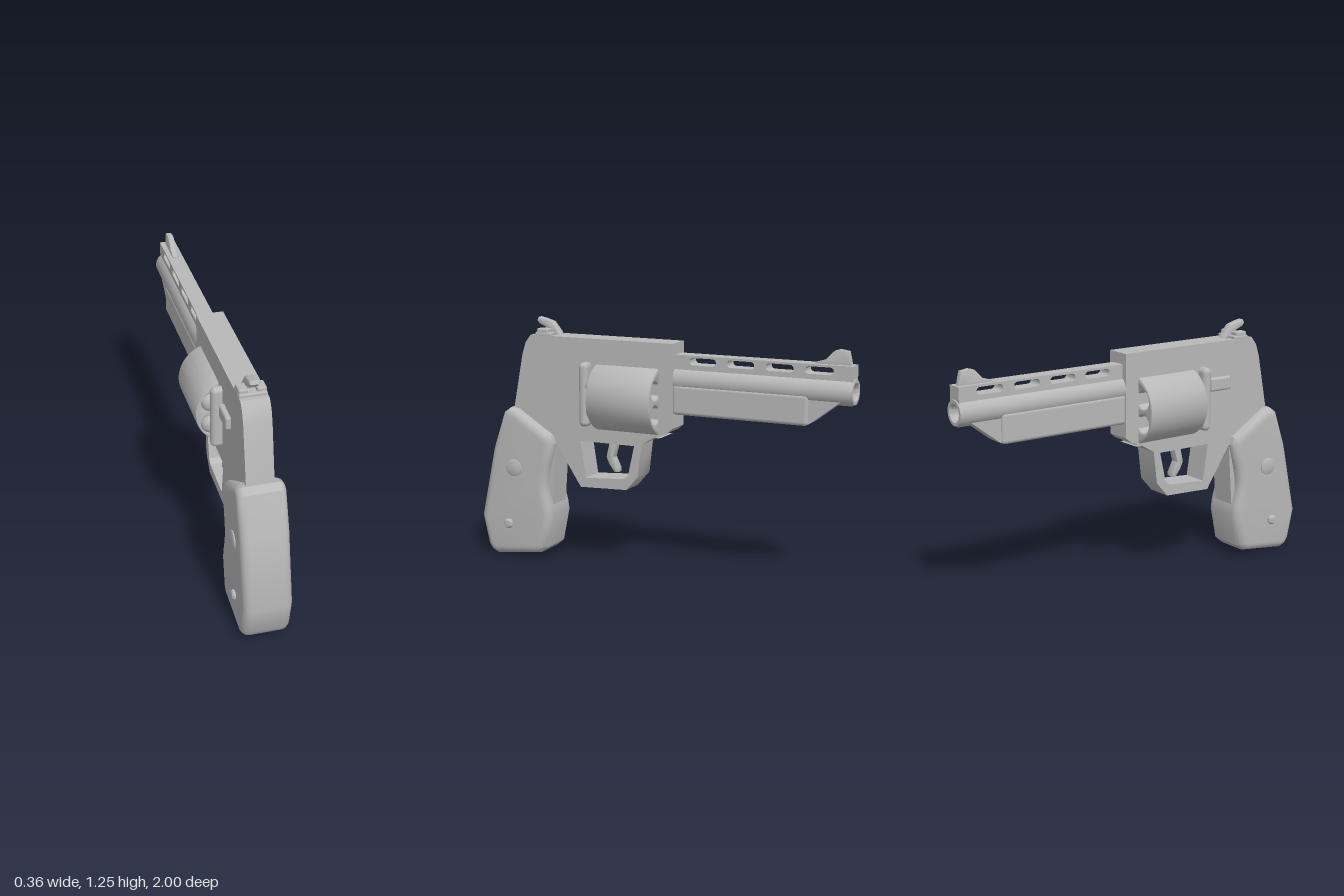
import * as THREE from 'three';
import { toCreasedNormals } from 'three/addons/utils/BufferGeometryUtils.js';
import { RoundedBoxGeometry } from 'three/addons/geometries/RoundedBoxGeometry.js';

export function createModel() {
  const model = new THREE.Group();
  model.name = 'revolver';
  const steel = new THREE.MeshStandardMaterial({ color: 0xb8b8b8 });
  steel.name = 'grey';

  const add = (name, geometry, x = 0, y = 0, z = 0) => {
    const mesh = new THREE.Mesh(geometry, steel);
    mesh.name = name;
    mesh.position.set(x, y, z);
    model.add(mesh);
    return mesh;
  };
  const points = (list) => list.map(([a, b]) => new THREE.Vector2(a, b));

  // Side profile in (z, y), extruded evenly about x = 0
  const profile = (shape, width, bevel = 0, segments = 2) => {
    const g = new THREE.ExtrudeGeometry(shape, {
      depth: width - 2 * bevel, bevelEnabled: bevel > 0, bevelSize: bevel,
      bevelThickness: bevel, bevelOffset: -bevel, bevelSegments: segments, curveSegments: 10,
    });
    g.translate(0, 0, bevel - width / 2);
    g.rotateY(-Math.PI / 2);
    return toCreasedNormals(g, 0.6);
  };

  // Frame with cylinder window and trigger guard opening
  const frame = new THREE.Shape(points([
    [0.705, 1.17], [0.735, 1.13], [0.755, 1.07], [0.815, 0.76], [0.83, 0.6], [0.8, 0.28],
    [0.59, 0.28], [0.58, 0.42], [0.565, 0.62], [0.425, 0.405], [0.165, 0.415], [0.1, 0.49],
    [0.08, 0.655], [-0.01, 0.71], [-0.06, 0.725], [-0.09, 0.75], [-0.09, 1.17],
  ]));
  frame.holes.push(
    new THREE.Path(points([[0.37, 0.7], [0.37, 1.09], [-0.03, 1.09], [-0.03, 0.7]])),
    new THREE.Path(points([[0.425, 0.645], [0.12, 0.645], [0.155, 0.49], [0.18, 0.47], [0.395, 0.455]])),
  );
  add('frame', profile(frame, 0.134));

  // Grip with rounded edges
  const grip = new THREE.Shape(points([
    [0.82, 0.79], [0.855, 0.765], [0.92, 0.575], [1, 0.205], [0.965, 0.05], [0.945, 0.02],
    [0.91, 0.003], [0.65, 0.035], [0.615, 0.065], [0.58, 0.235], [0.588, 0.29], [0.608, 0.36],
    [0.61, 0.42], [0.595, 0.5], [0.565, 0.62], [0.58, 0.66], [0.78, 0.785],
  ]));
  add('grip', profile(grip, 0.236, 0.04, 5));

  // Grip medallions and screws on both sides
  for (const s of [-1, 1]) {
    for (const [name, r, y, z, h] of [['gripMedallion', 0.045, 0.48, 0.79, 0.012], ['gripScrew', 0.025, 0.18, 0.825, 0.02]]) {
      const dome = new THREE.LatheGeometry(points([[r, -0.02], [r, h * 0.5], [r * 0.7, h * 0.9], [0, h]]), 24);
      add(name, toCreasedNormals(dome, 0.7), s * 0.117, y, z).rotation.z = -s * Math.PI / 2;
    }
  }

  // Cylinder drilled with six chambers
  const drum = new THREE.Shape().absarc(0, 0, 0.178, 0, Math.PI * 2);
  const chambers = [];
  for (let i = 0; i < 6; i++) {
    const a = Math.PI / 6 + i * Math.PI / 3;
    const c = [0.12 * Math.cos(a), 0.12 * Math.sin(a)];
    chambers.push(c);
    drum.holes.push(new THREE.Path().absarc(c[0], c[1], 0.046, 0, Math.PI * 2, true));
  }
  const drumGeometry = new THREE.ExtrudeGeometry(drum, {
    depth: 0.334, bevelSize: 0.008, bevelThickness: 0.008, bevelOffset: -0.008, bevelSegments: 2, curveSegments: 28,
  });
  add('cylinder', toCreasedNormals(drumGeometry, 0.6), 0, 0.878, -0.007);

  // Cartridge bases closing the chambers
  for (const [x, y] of chambers) {
    const base = new THREE.LatheGeometry(points([[0, -0.07], [0.046, -0.07], [0.046, 0.0], [0.038, 0.014], [0.025, 0.022], [0, 0.024]]), 20);
    add('cartridge', toCreasedNormals(base, 0.7), x, 0.878 + y, 0.335).rotation.x = Math.PI / 2;
  }
  const pin = new THREE.CylinderGeometry(0.03, 0.03, 0.42, 20).rotateX(Math.PI / 2);
  add('cylinderPin', pin, 0, 0.878, 0.17);
  add('crane', new RoundedBoxGeometry(0.12, 0.05, 0.05, 2, 0.01), 0, 0.715, 0.01);

  // Recoil plate and thumb latch
  add('recoilPlate', new RoundedBoxGeometry(0.24, 0.325, 0.05, 4, 0.024), 0, 0.89, 0.383);
  add('thumbLatch', new RoundedBoxGeometry(0.03, 0.07, 0.13, 3, 0.012), -0.078, 0.955, 0.49);

  // Barrel with an open bore
  const barrel = new THREE.LatheGeometry(points([
    [0.067, 0], [0.067, 0.9], [0.06, 0.915], [0.045, 0.915], [0.038, 0.905], [0.038, 0.7], [0, 0.7],
  ]), 36);
  add('barrel', toCreasedNormals(barrel, 0.6), 0, 0.99, -0.085).rotation.x = -Math.PI / 2;

  // Ventilated rib
  const rib = new THREE.Shape(points([[-0.08, 1.035], [-0.08, 1.115], [-0.995, 1.115], [-0.995, 1.035]]));
  for (let i = 0; i < 4; i++) {
    const z = -0.238 - i * 0.198, h = 0.018, l = 0.052;
    const slot = new THREE.Path();
    slot.absarc(z + l, 1.086, h, -Math.PI / 2, Math.PI / 2);
    slot.absarc(z - l, 1.086, h, Math.PI / 2, Math.PI * 1.5);
    slot.closePath();
    rib.holes.push(slot);
  }
  add('barrelRib', profile(rib, 0.08));

  // Ejector shroud with sloped nose
  add('ejectorShroud', new RoundedBoxGeometry(0.13, 0.15, 0.7, 3, 0.018), 0, 0.895, -0.435);
  const nose = new THREE.Shape(points([[-0.76, 0.96], [-0.76, 0.83], [-0.79, 0.83], [-0.94, 0.945], [-0.94, 0.96]]));
  add('shroudNose', profile(nose, 0.1));

  // Sights
  const sight = new THREE.Shape(points([[-0.8, 1.11], [-0.8, 1.12], [-0.85, 1.135], [-0.895, 1.18], [-0.92, 1.187], [-0.965, 1.18], [-0.98, 1.11]]));
  add('frontSight', profile(sight, 0.03, 0.004));
  add('rearSightBase', new RoundedBoxGeometry(0.134, 0.022, 0.09, 2, 0.008), 0, 1.175, 0.635);
  for (const s of [-1, 1]) {
    add('rearSightLeaf', new RoundedBoxGeometry(0.045, 0.03, 0.065, 2, 0.008), s * 0.043, 1.19, 0.638);
  }

  // Hammer and trigger
  const hammer = new THREE.Shape(points([
    [0.55, 1.16], [0.575, 1.2], [0.605, 1.237], [0.65, 1.25], [0.685, 1.257], [0.695, 1.24],
    [0.68, 1.222], [0.64, 1.205], [0.62, 1.16],
  ]));
  add('hammer', profile(hammer, 0.048, 0.01));
  const trigger = new THREE.Shape(points([
    [0.285, 0.66], [0.285, 0.63], [0.3, 0.565], [0.285, 0.53], [0.255, 0.49], [0.235, 0.49],
    [0.235, 0.51], [0.262, 0.565], [0.245, 0.63], [0.245, 0.66],
  ]));
  add('trigger', profile(trigger, 0.05, 0.006));

  return model;
}
